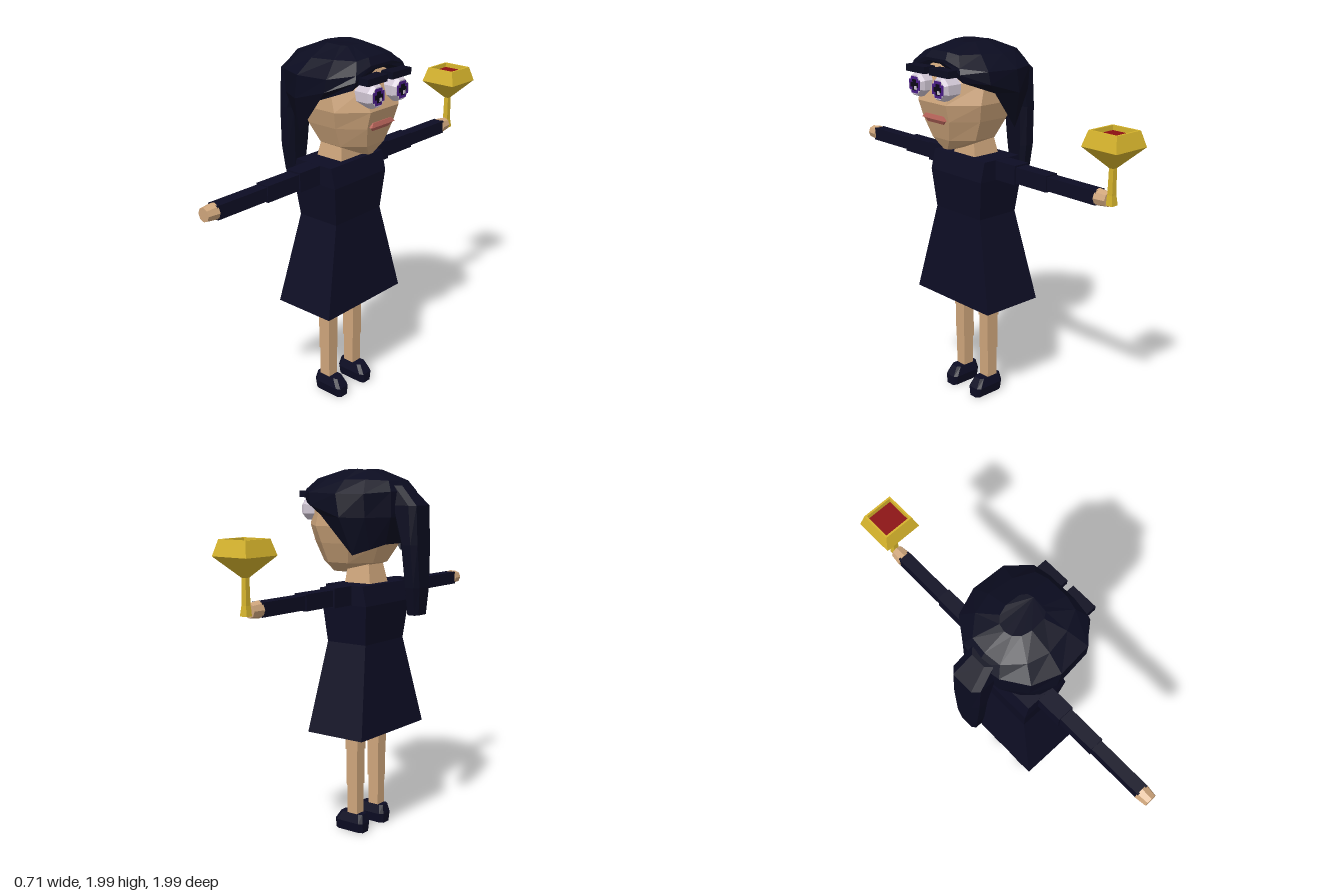
import * as THREE from 'three';

const mat = (name, color, side = THREE.FrontSide) => {
  const m = new THREE.MeshStandardMaterial({ color, flatShading: true, side });
  m.name = name;
  return m;
};

// Skin over horizontal rings (bottom to top, counter-clockwise from above)
function loft(rings, bottomCap = true, topCap = true) {
  const pos = [];
  const tri = (...pts) => pts.forEach((p) => pos.push(...p));
  const n = rings[0].length;
  for (let i = 0; i < rings.length - 1; i++) {
    for (let j = 0; j < n; j++) {
      const k = (j + 1) % n;
      const a = rings[i][j], b = rings[i][k], c = rings[i + 1][k], d = rings[i + 1][j];
      tri(a, b, c);
      tri(a, c, d);
    }
  }
  const lo = rings[0], hi = rings[rings.length - 1];
  for (let j = 1; j < n - 1; j++) {
    if (bottomCap) tri(lo[0], lo[j + 1], lo[j]);
    if (topCap) tri(hi[0], hi[j], hi[j + 1]);
  }
  const g = new THREE.BufferGeometry();
  g.setAttribute('position', new THREE.Float32BufferAttribute(pos, 3));
  g.computeVertexNormals();
  return g;
}

// Rectangular ring: height, back x, front x, half depth, z centre
const rect = (y, x0, x1, h, z = 0) =>
  [[x1, y, z + h], [x1, y, z - h], [x0, y, z - h], [x0, y, z + h]];

// Ring with cut corners
const cut = (y, x0, x1, h, cx, cz, z = 0) => [
  [x1, y, z + h - cz], [x1, y, z - h + cz], [x1 - cx, y, z - h], [x0 + cx, y, z - h],
  [x0, y, z - h + cz], [x0, y, z + h - cz], [x0 + cx, y, z + h], [x1 - cx, y, z + h],
];

// Ring mirrored in z from half an outline of [x, y, z], front to back, last point on the middle
const mirrored = (half) => {
  const other = half.slice(0, -1).reverse();
  return [...half.map(([x, y, z]) => [x, y, -z]), ...other];
};

export function createModel() {
  const skin = mat('skin', 0xcfa67c);
  const cloth = mat('navy cloth', 0x0d0d24);
  const hairMat = mat('navy hair', 0x0b0c20, THREE.DoubleSide);
  const gold = mat('gold', 0xd6b42c);
  const red = mat('red wine', 0x8c1012);
  const white = mat('eye white', 0xcfc5d3);
  const purple = mat('iris purple', 0x4a1c88);
  const dark = mat('pupil dark', 0x0c0818);
  const lip = mat('lip', 0xb8645a);

  const root = new THREE.Group();
  root.name = 'figure';
  const body = new THREE.Group();
  body.name = 'body';
  body.position.z = 0.055;
  root.add(body);

  const add = (name, geo, m) => {
    const mesh = new THREE.Mesh(geo, m);
    mesh.name = name;
    body.add(mesh);
    return mesh;
  };
  // Box from its minimum and maximum corners
  const box = (name, m, x0, x1, y0, y1, z0, z1) => {
    const mesh = add(name, new THREE.BoxGeometry(x1 - x0, y1 - y0, z1 - z0), m);
    mesh.position.set((x0 + x1) / 2, (y0 + y1) / 2, (z0 + z1) / 2);
    return mesh;
  };

  // Dress and neck
  add('dress', loft([
    rect(0.58, -0.165, 0.195, 0.29), rect(1.07, -0.105, 0.145, 0.175),
    rect(1.28, -0.127, 0.16, 0.2), rect(1.385, -0.105, 0.135, 0.2),
  ]), cloth);
  add('neck', loft([rect(1.37, -0.07, 0.1, 0.085), rect(1.52, -0.04, 0.085, 0.06)]), skin);

  // Head with a broad cheek line sloping in to the chin
  add('head', loft([
    cut(1.435, 0.1, 0.225, 0.03, 0.03, 0.015),
    cut(1.495, -0.075, 0.255, 0.155, 0.1, 0.09),
    cut(1.6, -0.135, 0.285, 0.2, 0.12, 0.1),
    cut(1.69, -0.15, 0.312, 0.228, 0.13, 0.12),
    cut(1.8, -0.13, 0.275, 0.225, 0.12, 0.1),
    cut(1.89, -0.08, 0.24, 0.16, 0.1, 0.08),
  ]), skin);
  add('upperLip', loft([rect(1.605, 0.25, 0.305, 0.088), rect(1.627, 0.25, 0.298, 0.07)]), lip);
  add('lowerLip', loft([rect(1.583, 0.25, 0.288, 0.06), rect(1.605, 0.25, 0.3, 0.08)]), lip);

  // Hair cap: low points on the sides, open fringe in front
  add('hairCap', loft([
    mirrored([[0.275, 1.885, 0.03], [0.27, 1.81, 0.19], [0.12, 1.75, 0.262], [-0.055, 1.545, 0.222],
      [-0.13, 1.575, 0.17], [-0.18, 1.6, 0.1], [-0.19, 1.6, 0]]),
    mirrored([[0.285, 1.895, 0.06], [0.285, 1.85, 0.19], [0.17, 1.8, 0.285], [-0.02, 1.74, 0.29],
      [-0.14, 1.74, 0.23], [-0.225, 1.74, 0.12], [-0.24, 1.74, 0]]),
    mirrored([[0.285, 1.91, 0.08], [0.28, 1.88, 0.18], [0.18, 1.865, 0.28], [0, 1.86, 0.292],
      [-0.14, 1.86, 0.24], [-0.225, 1.87, 0.12], [-0.245, 1.87, 0]]),
    mirrored([[0.255, 1.945, 0.06], [0.24, 1.935, 0.13], [0.14, 1.935, 0.18], [0.01, 1.93, 0.2],
      [-0.1, 1.93, 0.17], [-0.19, 1.925, 0.09], [-0.2, 1.925, 0]]),
    mirrored([[0.13, 1.978, 0.03], [0.12, 1.98, 0.06], [0.09, 1.982, 0.08], [0.01, 1.985, 0.085],
      [-0.04, 1.98, 0.07], [-0.07, 1.975, 0.04], [-0.08, 1.975, 0]]),
  ], false, true), hairMat);

  // Ponytail hanging behind
  add('ponytail', loft([
    cut(1.235, -0.345, -0.275, 0.055, 0.015, 0.02),
    cut(1.38, -0.356, -0.266, 0.075, 0.02, 0.03),
    cut(1.6, -0.35, -0.25, 0.09, 0.025, 0.03),
    cut(1.8, -0.342, -0.19, 0.09, 0.03, 0.03),
    cut(1.9, -0.24, -0.14, 0.07, 0.03, 0.03),
  ]), hairMat);

  for (const s of [1, -1]) {
    const side = s > 0 ? 'left' : 'right';
    const span = (a, b) => (s > 0 ? [a, b] : [-b, -a]);

    // Eye: cut-cornered block with a plate iris, pupil and glint
    const ez = s * 0.092, ey = 1.773;
    const eyeGeo = new THREE.CylinderGeometry(0.052, 0.064, 0.02, 8);
    const ballGeo = new THREE.CylinderGeometry(0.064, 0.064, 0.08, 8);
    for (const [g, x, part] of [[eyeGeo, 0.336, 'EyeFront'], [ballGeo, 0.286, 'EyeBlock']]) {
      g.rotateY(Math.PI / 8).rotateZ(-Math.PI / 2);
      add(side + part, g, white).position.set(x, ey, ez);
    }
    const plate = (part, m, x, dy, dz, h, w) =>
      box(side + part, m, 0.343, x, ey + dy - h, ey + dy + h, ez + dz - w, ez + dz + w);
    plate('IrisWide', purple, 0.348, 0, 0, 0.026, 0.042);
    plate('IrisTall', purple, 0.3482, 0, 0, 0.042, 0.026);
    plate('PupilWide', dark, 0.35, 0, 0, 0.012, 0.028);
    plate('PupilTall', dark, 0.3502, 0, 0, 0.028, 0.014);
    plate('Glint', white, 0.352, -0.014, -0.01, 0.009, 0.009);
    box(side + 'Lash', hairMat, 0.27, 0.342, 1.835, 1.87, ez - 0.073, ez + 0.073);

    // Arm: shoulder, upper sleeve, lower sleeve, hand
    box(side + 'Shoulder', cloth, -0.035, 0.06, 1.282, 1.384, ...span(0.15, 0.345));
    box(side + 'UpperSleeve', cloth, -0.025, 0.052, 1.29, 1.375, ...span(0.3, 0.56));
    box(side + 'LowerSleeve', cloth, -0.02, 0.046, 1.297, 1.368, ...span(0.55, 0.875));
    const hand = new THREE.CylinderGeometry(0.036, 0.044, 0.065, 8);
    hand.rotateX(s * Math.PI / 2);
    add(side + 'Hand', hand, skin).position.set(0.013, 1.333, s * 0.9);

    // Leg and shoe
    const lz = s * 0.1;
    box(side + 'Thigh', skin, -0.024, 0.056, 0.47, 0.62, lz - 0.038, lz + 0.038);
    box(side + 'Knee', skin, -0.02, 0.053, 0.27, 0.48, lz - 0.035, lz + 0.035);
    box(side + 'Shin', skin, -0.016, 0.05, 0.09, 0.28, lz - 0.032, lz + 0.032);
    add(side + 'Shoe', loft([
      cut(0, -0.052, 0.132, 0.036, 0.02, 0.012, lz),
      cut(0.055, -0.055, 0.132, 0.046, 0.02, 0.015, lz),
      cut(0.105, -0.045, 0.1, 0.033, 0.02, 0.012, lz),
    ]), cloth);
  }

  // Square goblet held in the right hand
  const square = (y, r) => rect(y, 0.015 - r, 0.015 + r, r, -0.949);
  add('goblet', loft([
    square(1.31, 0.021), square(1.36, 0.015), square(1.49, 0.013), square(1.59, 0.106),
    square(1.668, 0.084), square(1.668, 0.074), square(1.635, 0.072),
  ]), gold);
  box('wine', red, -0.056, 0.086, 1.637, 1.645, -1.02, -0.878);

  return root;
}
